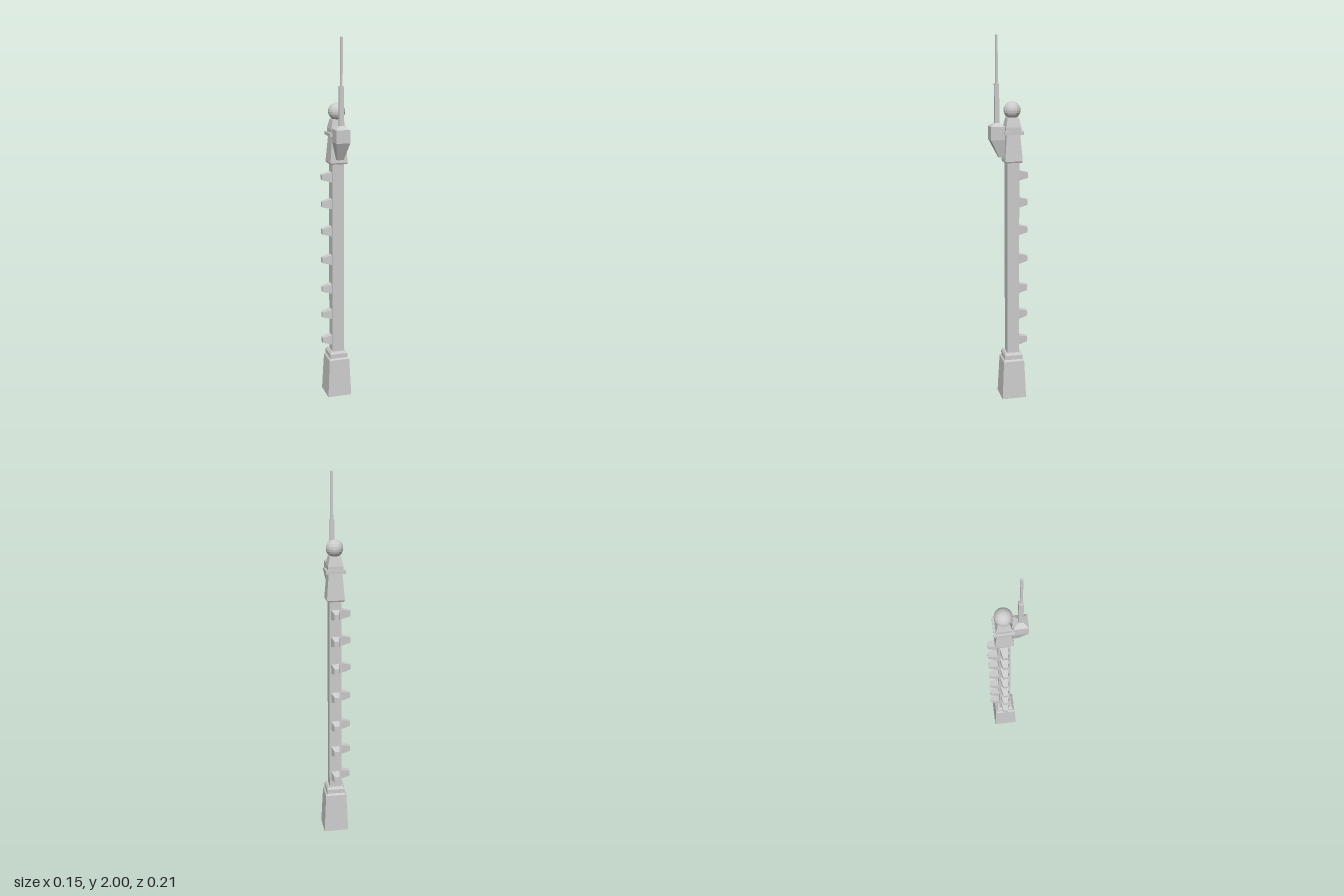
import * as THREE from 'three';

const material = new THREE.MeshStandardMaterial({ color: 0xcccccc, flatShading: true });
const CX = 0.007, CZ = -0.021; // axis of the column
const BOX_Z = 0.0625; // axis of the front box and antenna

// Closed square-section solid from [halfWidth, y] pairs, bottom to top
function squareStack(sections) {
  const points = [[0, sections[0][1]], ...sections, [0, sections[sections.length - 1][1]]]
    .map(([half, y]) => new THREE.Vector2(half * Math.SQRT2, y));
  return new THREE.LatheGeometry(points, 4).rotateY(Math.PI / 4);
}

export function createModel() {
  const group = new THREE.Group();
  const add = (name, geometry, x = CX, y = 0, z = CZ) => {
    const mesh = new THREE.Mesh(geometry, material);
    mesh.name = name;
    mesh.position.set(x, y, z);
    group.add(mesh);
    return mesh;
  };

  // Tapered plinth with a stepped cap
  add('base', squareStack([[0.068, 0], [0.058, 0.217], [0.05, 0.226], [0.05, 0.25], [0.042, 0.262]]));
  add('column', squareStack([[0.033, 0.25], [0.033, 1.35]]));

  // Head: flared skirt, collar and sloped shoulders under a ball
  add('headSkirt', squareStack([[0.044, 1.337], [0.048, 1.345], [0.036, 1.49]]));
  add('collar', squareStack([[0.052, 1.487], [0.052, 1.505]]));
  add('shoulders', squareStack([[0.041, 1.505], [0.041, 1.525], [0.03, 1.575]]));
  add('ball', new THREE.SphereGeometry(0.046, 16, 10), CX, 1.614, CZ);

  // Tapered climbing pegs on the right and back faces
  const sidePeg = squareStack([[0.025, 0], [0.0135, 0.054]]).scale(1.1, 1, 0.95).rotateZ(Math.PI / 2);
  const backPeg = sidePeg.clone().rotateY(-Math.PI / 2);
  for (const y of [0.328, 0.481, 0.632, 0.8, 0.963, 1.116, 1.264]) {
    add('rightPeg', sidePeg, CX - 0.031, y, CZ);
    add('backPeg', backPeg, CX, y, CZ - 0.031);
  }

  // Antenna housing with a sloped roof
  add('antennaBox', squareStack([[0.038, 1.46], [0.038, 1.53], [0.013, 1.548]]), CX, 0, BOX_Z);

  // Bracket below the housing: flat back, front and sides narrowing downwards
  const bracket = new THREE.BoxGeometry(0.076, 0.095, 0.076);
  const position = bracket.attributes.position;
  for (let i = 0; i < position.count; i++) {
    if (position.getY(i) < 0) {
      position.setX(i, position.getX(i) * 0.45);
      if (position.getZ(i) > 0) position.setZ(i, -0.01);
    }
  }
  bracket.computeVertexNormals();
  add('bracket', bracket, CX, 1.4125, BOX_Z);

  // Two-stage square antenna
  add('antennaLower', squareStack([[0.012, 1.54], [0.012, 1.752]]), CX, 0, BOX_Z);
  add('antennaUpper', squareStack([[0.006, 1.75], [0.006, 2]]), CX, 0, BOX_Z);

  return group;
}
